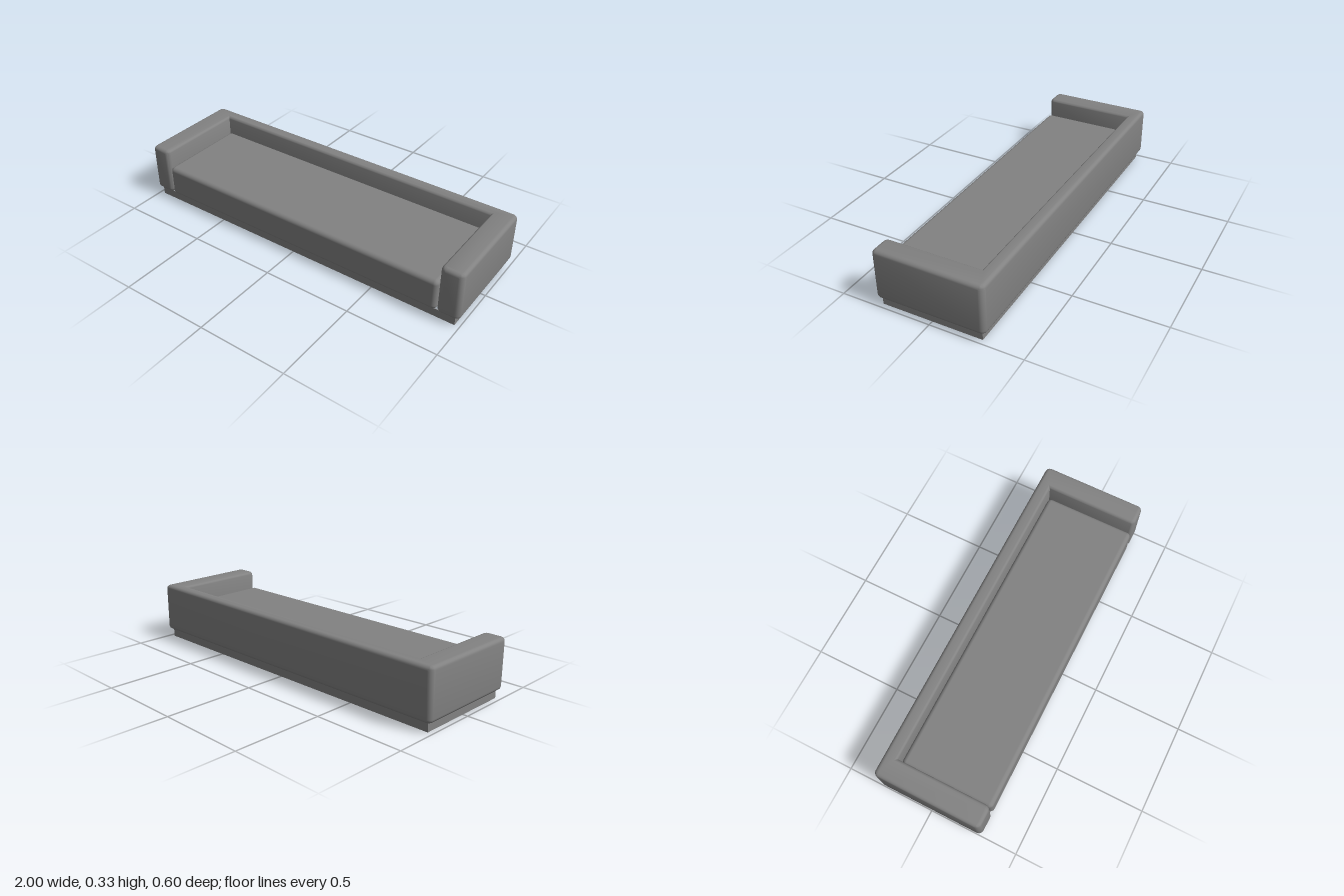
import * as THREE from 'three';
import { toCreasedNormals } from 'three/addons/utils/BufferGeometryUtils.js';
import { RoundedBoxGeometry } from 'three/addons/geometries/RoundedBoxGeometry.js';

// Dark grey upholstery; double-sided because the surround is open underneath
const material = new THREE.MeshStandardMaterial({ color: 0x828282, side: THREE.DoubleSide });

function addMesh(parent, name, geometry) {
  const mesh = new THREE.Mesh(geometry, material);
  mesh.name = name;
  parent.add(mesh);
  return mesh;
}

// Closed outline whose corners [x, y, radius] are rounded by near-circular arcs
function outline(corners, path) {
  const n = corners.length;
  corners.forEach(([x, y, r], i) => {
    const toward = ([px, py], distance) => {
      const d = Math.hypot(px - x, py - y);
      return [x + (px - x) / d * distance, y + (py - y) / d * distance];
    };
    const previous = corners[(i + n - 1) % n];
    const next = corners[(i + 1) % n];
    const start = toward(previous, r);
    if (i === 0) path.moveTo(...start);
    else path.lineTo(...start);
    if (r > 0) {
      path.bezierCurveTo(...toward(previous, r * 0.448), ...toward(next, r * 0.448), ...toward(next, r));
    }
  });
  path.closePath();
  return path;
}

// Surround: plan outline (y = -z) extruded upwards with rounded edges, bottom lid left out
function openShell(shape, bottom, height, bevel) {
  const solid = new THREE.ExtrudeGeometry(shape, {
    depth: height - 2 * bevel,
    bevelSize: bevel, bevelThickness: bevel, bevelOffset: -bevel,
    bevelSegments: 5, curveSegments: 6,
  });
  solid.rotateX(-Math.PI / 2);
  solid.translate(0, bottom + bevel, 0);
  // The bottom lid is the first half of the cap group
  const lidVertices = solid.groups[0].count / 2;
  const shell = new THREE.BufferGeometry();
  shell.setAttribute('position',
    new THREE.BufferAttribute(solid.attributes.position.array.slice(lidVertices * 3), 3));
  return toCreasedNormals(shell, 0.5);
}

export function createModel() {
  const group = new THREE.Group();
  group.name = 'lowSofa';

  // U-shaped surround: backrest and both armrests in one piece
  const r = 0.028;
  const surround = outline([
    [-1, -0.3, r], [-0.875, -0.3, r], [-0.875, 0.225, 0], [0.875, 0.225, 0],
    [0.875, -0.3, r], [1, -0.3, r], [1, 0.3, r], [-1, 0.3, r],
  ], new THREE.Shape());
  addMesh(group, 'backAndArms', openShell(surround, 0.049, 0.276, 0.022));

  // Seat cushion between the arms
  const seat = addMesh(group, 'seatCushion', new RoundedBoxGeometry(1.746, 0.176, 0.525, 5, 0.024));
  seat.position.set(0, 0.137, 0.0375);

  // Thin open plinth, set back under the upholstery
  const rect = (x, z0, z1) => [[-x, -z1, 0], [x, -z1, 0], [x, -z0, 0], [-x, -z0, 0]];
  const plinth = outline(rect(0.973, -0.274, 0.28), new THREE.Shape());
  plinth.holes.push(outline(rect(0.969, -0.27, 0.276), new THREE.Path()));
  const frame = new THREE.ExtrudeGeometry(plinth, { depth: 0.046, bevelEnabled: false });
  frame.rotateX(-Math.PI / 2);
  addMesh(group, 'plinthFrame', frame);

  return group;
}
